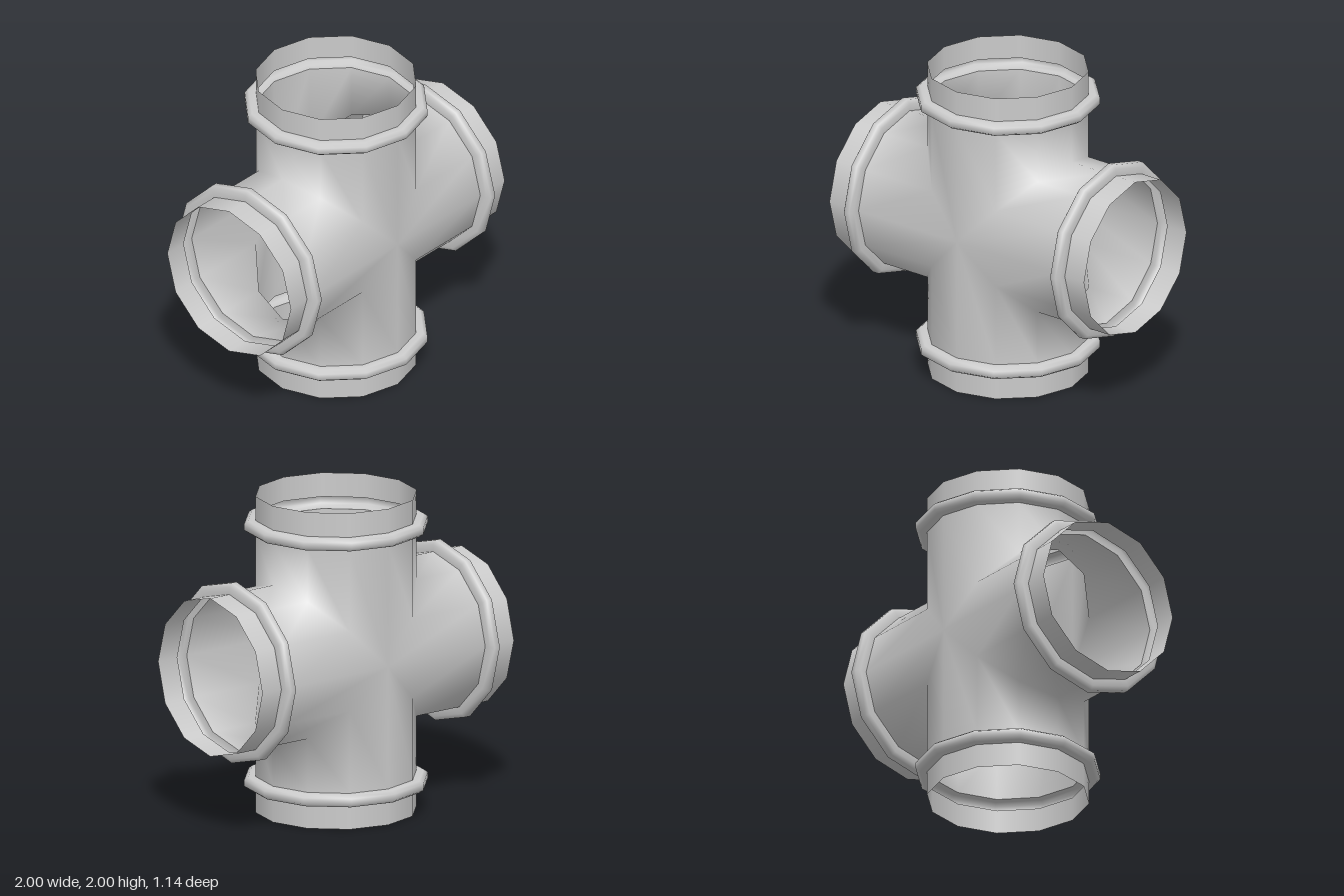
import * as THREE from 'three';
import { mergeGeometries, mergeVertices } from 'three/addons/utils/BufferGeometryUtils.js';

const SIDES = 12, R = 0.5;
const RING_START = 0.772, RING_END = 0.848;

// One arm along +y, mitred at 45 degrees where it meets its neighbours
function mitredArm() {
  const pos = [], index = [];
  for (let i = 0; i < SIDES; i++) {
    const a = (i / SIDES) * Math.PI * 2;
    const x = R * Math.cos(a), z = R * Math.sin(a);
    pos.push(x, Math.abs(x), z, x, RING_START, z);
    const low = i * 2, next = ((i + 1) % SIDES) * 2;
    index.push(low, low + 1, next + 1, low, next + 1, next);
  }
  const geo = new THREE.BufferGeometry();
  geo.setAttribute('position', new THREE.Float32BufferAttribute(pos, 3));
  geo.setIndex(index);
  return geo;
}

export function createModel() {
  const model = new THREE.Group();
  model.name = 'pipeCross';
  const material = new THREE.MeshStandardMaterial({ color: 0xcccccc, side: THREE.DoubleSide });
  const add = (parent, name, geo) => {
    const mesh = new THREE.Mesh(geo, material);
    mesh.name = name;
    parent.add(mesh);
    return mesh;
  };

  // Open cross body: four mitred arms welded into one smooth shell
  const arms = [0, 1, 2, 3].map((k) => mitredArm().rotateZ((k * Math.PI) / 2));
  const bodyGeo = mergeVertices(mergeGeometries(arms), 1e-4);
  bodyGeo.computeVertexNormals();
  add(model, 'crossBody', bodyGeo).position.y = 1;

  // Raised hollow bead and end collar, repeated on every arm
  const bead = new THREE.LatheGeometry([
    [R, RING_START], [0.545, RING_START], [0.57, 0.79],
    [0.57, 0.83], [0.545, RING_END], [R, RING_END],
  ].map(([r, y]) => new THREE.Vector2(r, y)), SIDES);
  const collar = new THREE.CylinderGeometry(R, R, 1 - RING_END, SIDES, 1, true)
    .translate(0, (1 + RING_END) / 2, 0);

  ['top', 'right', 'bottom', 'left'].forEach((side, k) => {
    const end = new THREE.Group();
    end.name = side + 'End';
    end.position.y = 1;
    end.rotation.z = (k * Math.PI) / 2;
    add(end, side + 'Bead', bead);
    add(end, side + 'Collar', collar);
    model.add(end);
  });

  return model;
}
